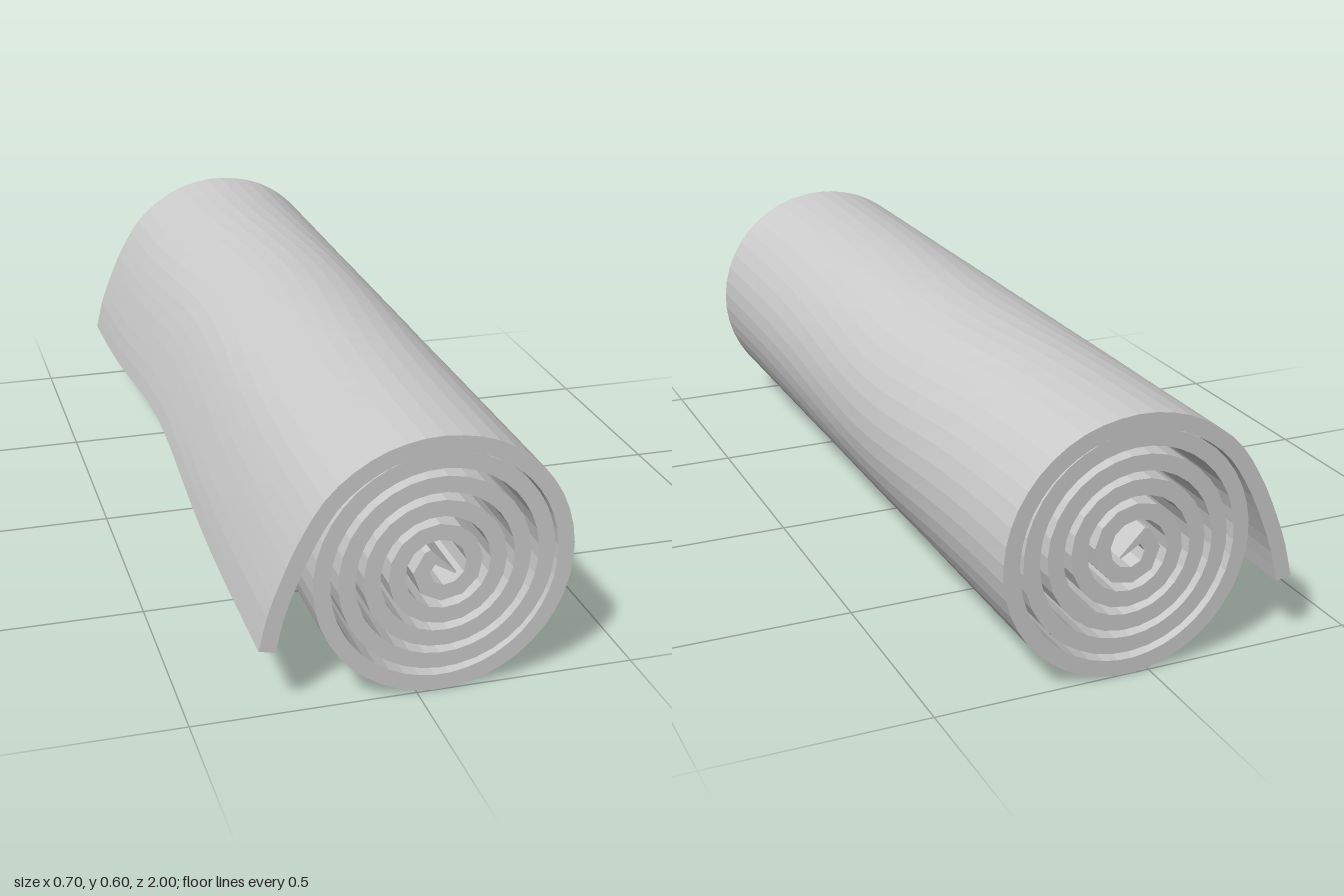
import * as THREE from 'three';

const HALF = 0.0185;        // half the sheet thickness
const CX = 0.0476, CY = 0.296;
const STEPS = 150, ROWS = 24;

// Centre line of the sheet: loose flap, outer half turn, then an even spiral inwards
function rollCurve() {
  const pts = [
    [-0.332, 0.153], [-0.312, 0.235], [-0.284, 0.31], [-0.245, 0.395],
    [-0.185, 0.485], [-0.1, 0.548], [-0.03, 0.573],
  ].map(([x, y]) => new THREE.Vector3(x, y, 0));
  for (let turn = -0.5; turn <= 4.376; turn += 1 / 16) {
    const r = 0.2763 - (turn < 0 ? 0.017 : 0.0545) * turn;
    const a = -Math.PI / 2 - Math.PI * 2 * turn;
    pts.push(new THREE.Vector3(CX + r * Math.cos(a), CY + r * Math.sin(a), 0));
  }
  const curve = new THREE.CatmullRomCurve3(pts);
  curve.arcLengthDivisions = 3000;
  return curve;
}

// Pairs of outer and inner points along the sheet at depth z
function crossSection(curve, z) {
  // the loose edge is drawn in near the middle of its length
  const start = 0.06 * Math.exp(-(((z + 0.12) / 0.45) ** 2)) / curve.getLength();
  const pairs = [];
  for (let k = 0; k <= STEPS; k++) {
    const u = Math.min(1, start + (1 - start) * k / STEPS);
    const p = curve.getPointAt(u), t = curve.getTangentAt(u);
    const side = (d) => new THREE.Vector3(p.x - t.y * d, p.y + t.x * d, z);
    pairs.push([side(HALF), side(-HALF)]);
  }
  // folded pointed end at the core
  pairs.push([new THREE.Vector3(0.021, 0.342, z), new THREE.Vector3(0.034, 0.305, z)]);
  pairs.push([new THREE.Vector3(0.08, 0.283, z), new THREE.Vector3(0.077, 0.28, z)]);
  return pairs;
}

function sheetGeometry() {
  const curve = rollCurve();
  const rows = [];
  for (let r = 0; r <= ROWS; r++) rows.push(crossSection(curve, -1 + 2 * r / ROWS));

  const pos = [];
  const quad = (a, b, c, d) => {
    for (const v of [a, b, c, a, c, d]) pos.push(v.x, v.y, v.z);
  };
  const last = rows[0].length - 1;
  for (let r = 0; r < ROWS; r++) {
    const A = rows[r], B = rows[r + 1];
    for (let j = 0; j < last; j++) {
      quad(A[j][0], B[j][0], B[j + 1][0], A[j + 1][0]); // outer face
      quad(A[j][1], A[j + 1][1], B[j + 1][1], B[j][1]); // inner face
    }
    quad(A[0][0], A[0][1], B[0][1], B[0][0]);                 // loose edge
    quad(A[last][0], B[last][0], B[last][1], A[last][1]);     // core edge
  }
  // spiral ends
  const back = rows[0], front = rows[ROWS];
  for (let j = 0; j < last; j++) {
    quad(front[j][0], front[j][1], front[j + 1][1], front[j + 1][0]);
    quad(back[j][0], back[j + 1][0], back[j + 1][1], back[j][1]);
  }
  const geo = new THREE.BufferGeometry();
  geo.setAttribute('position', new THREE.Float32BufferAttribute(pos, 3));
  geo.computeVertexNormals();
  return geo;
}

export function createModel() {
  const group = new THREE.Group();
  group.name = 'rolledMat';
  const material = new THREE.MeshStandardMaterial({ color: 0xcccccc, flatShading: true });
  const sheet = new THREE.Mesh(sheetGeometry(), material);
  sheet.name = 'rolledSheet';
  group.add(sheet);
  return group;
}
